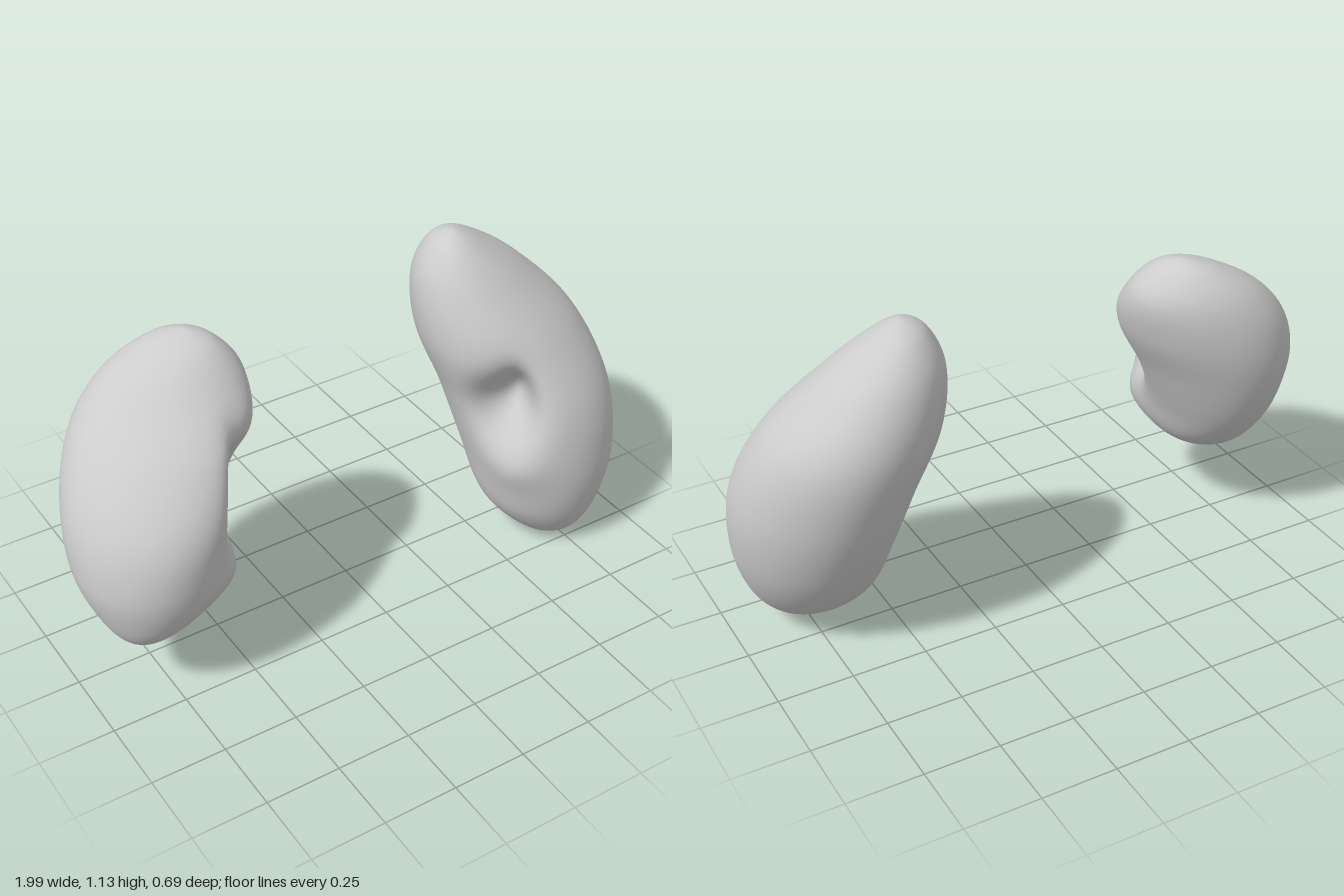
import * as THREE from 'three';

const RINGS = 120, SIDES = 180;

// Lofted bean: horizontal oval sections between two poles, then shaped by soft pushes.
// sections: [xMin, xMax, zMin, zMax], evenly spaced in polar angle from bottom to top.
// skew: diagonal lean of the ovals at the bottom and at the top.
function bean({ bottom, top, sections, skew, pushes }) {
  const xs = new THREE.SplineCurve(sections.map(s => new THREE.Vector2(s[0], s[1])));
  const zs = new THREE.SplineCurve(sections.map(s => new THREE.Vector2(s[2], s[3])));
  const pos = [], index = [], p = new THREE.Vector3(), d = new THREE.Vector3();
  for (let j = 0; j <= RINGS; j++) {
    const t = j / RINGS;
    const y = bottom + (top - bottom) * (1 - Math.cos(Math.PI * t)) / 2;
    const x = xs.getPoint(t), z = zs.getPoint(t);
    const shift = THREE.MathUtils.lerp(skew[0], skew[1], t);
    for (let i = 0; i < SIDES; i++) {
      const a = i / SIDES * Math.PI * 2;
      p.set((x.x + x.y) / 2 + (x.y - x.x) / 2 * Math.cos(a), y,
        (z.x + z.y) / 2 + (z.y - z.x) / 2 * Math.sin(a + shift));
      const move = new THREE.Vector3();
      for (const { at, axis, dir, long, wide, depth } of pushes) {
        d.copy(p).sub(at);
        const u = d.dot(axis), w2 = d.lengthSq() - u * u;
        move.addScaledVector(dir, depth * Math.exp(-u * u / (long * long) - w2 / (wide * wide)));
      }
      p.add(move);
      pos.push(p.x, p.y, p.z);
      if (j < RINGS) {
        const n = (i + 1) % SIDES, r = j * SIDES;
        index.push(r + i, r + SIDES + i, r + n, r + n, r + SIDES + i, r + SIDES + n);
      }
    }
  }
  const g = new THREE.BufferGeometry();
  g.setAttribute('position', new THREE.Float32BufferAttribute(pos, 3));
  g.setIndex(index);
  g.computeVertexNormals();
  return g;
}

const v = (x, y, z) => new THREE.Vector3(x, y, z);
const push = (at, axis, dir, long, wide, depth) =>
  ({ at, axis: axis.normalize(), dir: dir.normalize(), long, wide, depth });

export function createModel() {
  const group = new THREE.Group();
  const grey = new THREE.MeshStandardMaterial({ color: 0xcccccc });
  grey.name = 'soft grey';

  const add = (name, spec) => {
    const mesh = new THREE.Mesh(bean(spec), grey);
    mesh.name = name;
    group.add(mesh);
  };

  // Larger organ on the model's left
  add('leftKidney', {
    bottom: 0, top: 1.13, skew: [0.1, -0.2],
    sections: [
      [0.74, 0.74, 0.17, 0.17], [0.63, 0.845, 0.05, 0.26], [0.52, 0.935, -0.10, 0.32],
      [0.475, 0.99, -0.22, 0.345], [0.42, 0.995, -0.31, 0.315], [0.35, 0.92, -0.35, 0.21],
      [0.345, 0.75, -0.31, 0.08], [0.40, 0.58, -0.22, -0.03], [0.48, 0.48, -0.12, -0.12],
    ],
    pushes: [
      // hilum hollow, then the deeper sinus opening
      push(v(0.49, 0.59, 0.19), v(-0.1, 1, -0.25), v(0.75, 0, -0.65), 0.12, 0.10, 0.12),
      push(v(0.53, 0.64, 0.19), v(-0.1, 1, -0.25), v(0.65, 0.1, -0.75), 0.09, 0.05, 0.12),
      // lower lip, and a slightly flatter outer back
      push(v(0.50, 0.36, 0.22), v(0, 1, 0), v(-0.6, 0, 0.8), 0.09, 0.12, 0.025),
      push(v(0.90, 0.60, -0.22), v(0, 1, 0), v(-1, 0, 1), 0.25, 0.2, 0.02),
    ],
  });

  // Smaller, higher organ on the model's right
  add('rightKidney', {
    bottom: 0.21, top: 1.09, skew: [-0.2, 0.34],
    sections: [
      [-0.80, -0.80, 0.13, 0.13], [-0.89, -0.70, 0.03, 0.21], [-0.955, -0.575, -0.12, 0.28],
      [-0.998, -0.515, -0.24, 0.315], [-0.985, -0.44, -0.30, 0.305], [-0.905, -0.36, -0.31, 0.22],
      [-0.77, -0.345, -0.28, 0.08], [-0.61, -0.41, -0.21, -0.02], [-0.49, -0.49, -0.12, -0.12],
    ],
    pushes: [
      push(v(-0.47, 0.67, 0.17), v(0.1, 1, -0.25), v(-0.75, 0, -0.65), 0.14, 0.09, 0.13),
      push(v(-0.49, 0.71, 0.16), v(0.1, 1, -0.25), v(-0.6, 0.1, -0.8), 0.12, 0.045, 0.11),
      push(v(-0.56, 0.43, 0.20), v(0, 1, 0), v(0.7, -0.1, 0.7), 0.10, 0.13, 0.05),
      push(v(-0.90, 0.52, -0.22), v(0, 1, 0), v(1, 0, 1), 0.25, 0.22, 0.045),
    ],
  });

  return group;
}
